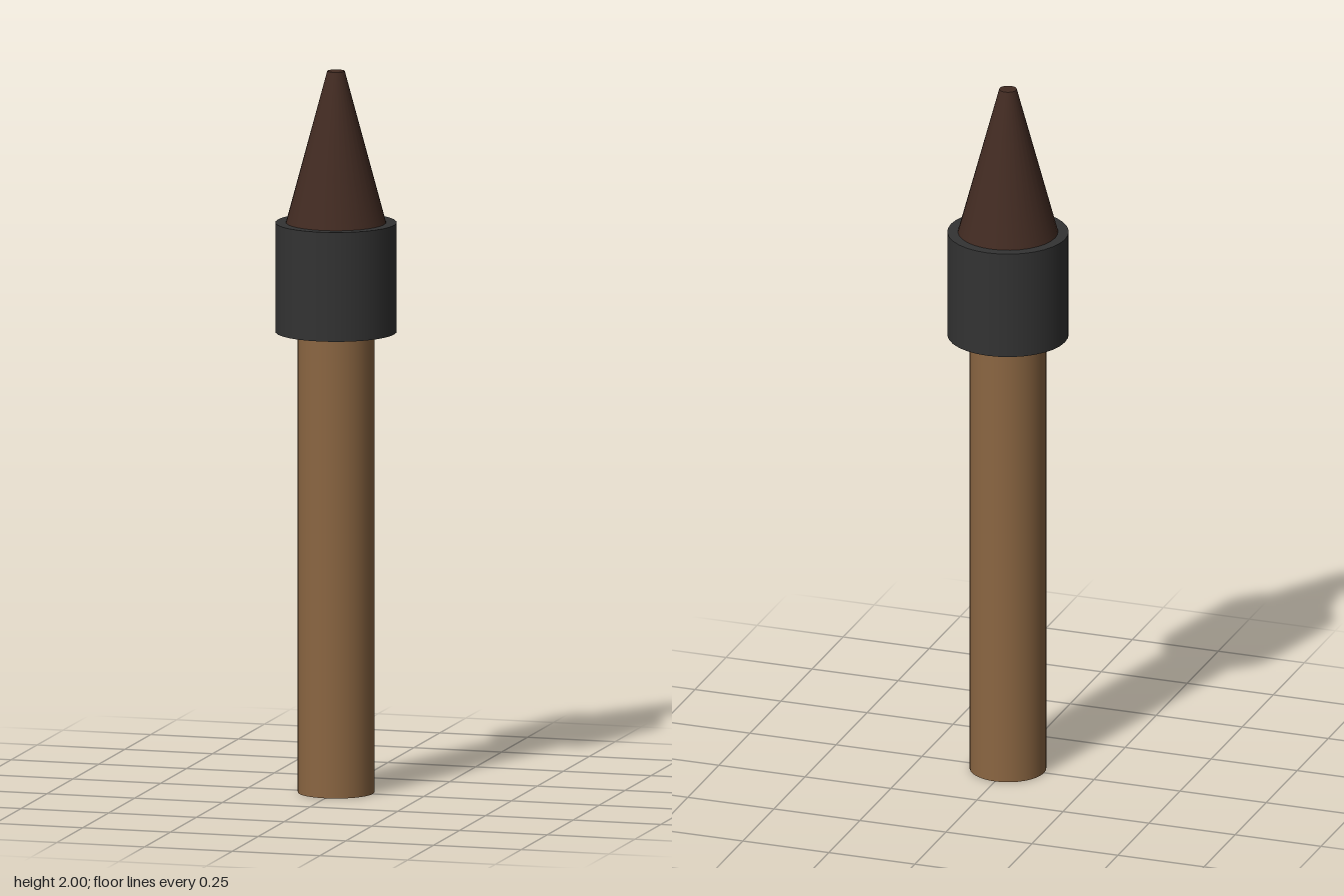
import * as THREE from 'three';

export function createModel() {
  const model = new THREE.Group();

  // Adds a capped round part spanning y0 to y1
  function addRound(name, bottomRadius, topRadius, y0, y1, sides, color) {
    const mesh = new THREE.Mesh(
      new THREE.CylinderGeometry(topRadius, bottomRadius, y1 - y0, sides),
      new THREE.MeshStandardMaterial({ color })
    );
    mesh.name = name;
    mesh.position.y = (y0 + y1) / 2;
    model.add(mesh);
  }

  // Wooden handle
  addRound('shaft', 0.105, 0.105, 0, 1.277, 32, 0x8b6642);
  // Dark band joining handle and tip
  addRound('collar', 0.166, 0.166, 1.277, 1.58, 32, 0x333333);
  // Tapered tip with a blunt end
  addRound('tip', 0.137, 0.024, 1.58, 2, 32, 0x422b22);

  return model;
}
